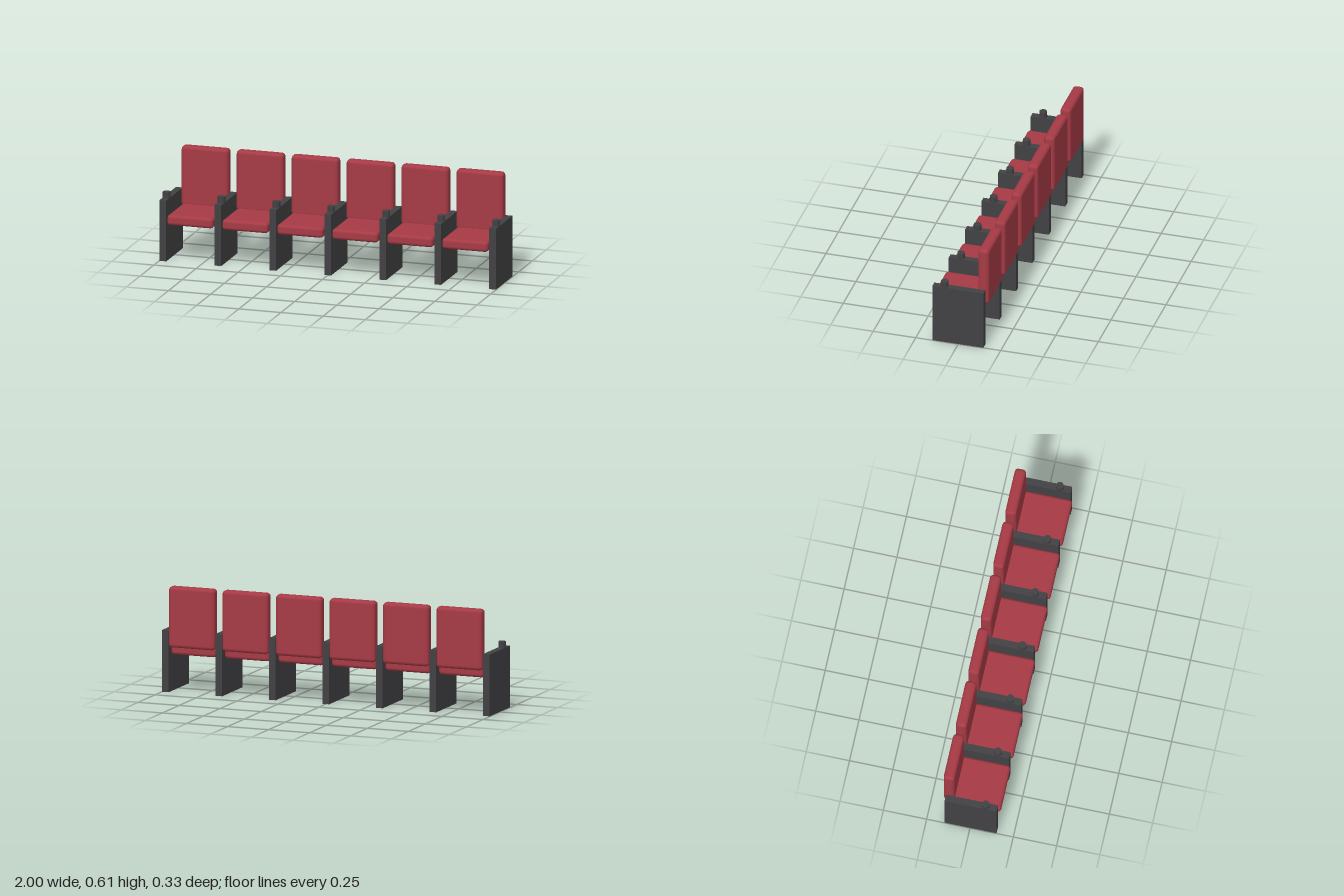
import * as THREE from 'three';
import { RoundedBoxGeometry } from 'three/addons/geometries/RoundedBoxGeometry.js';

export function createModel() {
  const group = new THREE.Group();
  const red = new THREE.MeshStandardMaterial({ color: 0xa63a45 });
  const dark = new THREE.MeshStandardMaterial({ color: 0x424244 });
  const seats = 6;
  const end = 0.9785; // centre of the outermost side panel
  const pitch = (2 * end) / seats;

  const add = (name, geometry, material, x, y, z) => {
    const mesh = new THREE.Mesh(geometry, material);
    mesh.name = name;
    mesh.position.set(x, y, z);
    group.add(mesh);
  };

  const panel = new THREE.BoxGeometry(0.04, 0.355, 0.3);
  const cup = new THREE.CylinderGeometry(0.0215, 0.0215, 0.043, 24);
  const cushion = new RoundedBoxGeometry(0.272, 0.06, 0.3, 2, 0.018);
  const back = new RoundedBoxGeometry(0.28, 0.35, 0.064, 2, 0.02);

  // Side panels, each with a cup holder on the armrest
  for (let i = 0; i <= seats; i++) {
    const x = -end + i * pitch;
    add('sidePanel', panel, dark, x, 0.1775, 0.003);
    add('cupHolder', cup, dark, x, 0.3685, 0.086);
  }

  // Seat cushions and backrests between the panels
  for (let i = 0; i < seats; i++) {
    const x = -end + (i + 0.5) * pitch;
    add('seatCushion', cushion, red, x, 0.244, 0.016);
    add('backrest', back, red, x, 0.434, -0.133);
  }
  return group;
}
